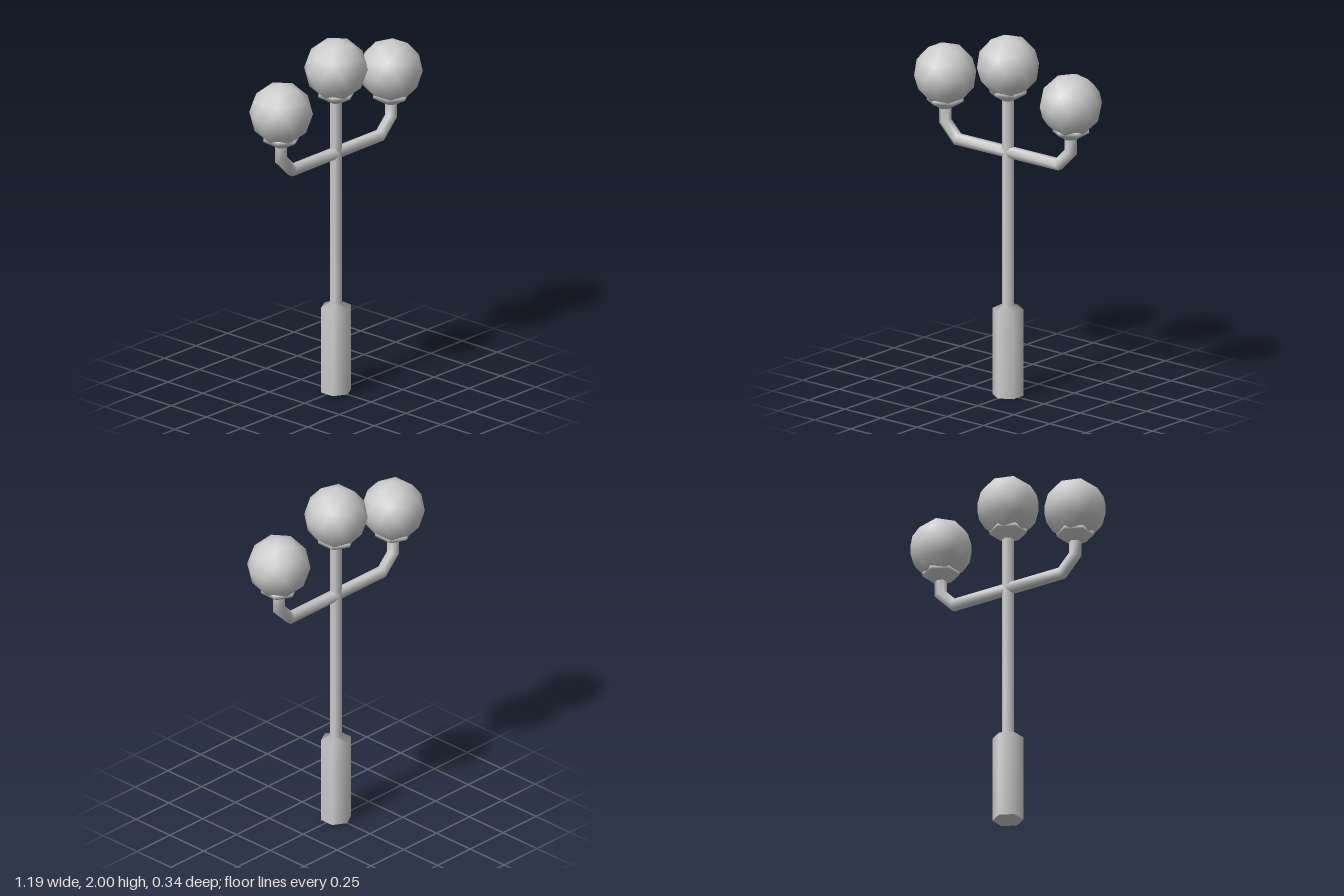
import * as THREE from 'three';

const material = new THREE.MeshStandardMaterial({ color: 0xcccccc });
const SIDES = 6;
const PIPE = 0.033;

function addMesh(parent, name, geometry) {
  const mesh = new THREE.Mesh(geometry, material);
  mesh.name = name;
  parent.add(mesh);
  return mesh;
}

// Six-sided turned part with corners on the z axis
function turned(points) {
  return new THREE.LatheGeometry(points.map(([r, y]) => new THREE.Vector2(r, y)), SIDES);
}

// Hexagonal pipe along a path in the xy plane, with mitred bends
function mitredPipe(path, radius) {
  const pts = path.map(([x, y]) => new THREE.Vector2(x, y));
  const positions = [];
  const index = [];
  pts.forEach((p, i) => {
    const before = (i > 0 ? p.clone().sub(pts[i - 1]) : pts[1].clone().sub(p)).normalize();
    const after = (i < pts.length - 1 ? pts[i + 1].clone().sub(p) : before.clone()).normalize();
    const along = before.clone().add(after).normalize();
    const stretch = 1 / along.dot(before);
    for (let k = 0; k < SIDES; k++) {
      const a = (k / SIDES) * Math.PI * 2;
      const side = Math.sin(a) * radius * stretch;
      positions.push(p.x - along.y * side, p.y + along.x * side, Math.cos(a) * radius);
      if (i === 0) continue;
      const next = (k + 1) % SIDES;
      const a0 = (i - 1) * SIDES + k, a1 = (i - 1) * SIDES + next;
      const b0 = i * SIDES + k, b1 = i * SIDES + next;
      index.push(a0, b0, a1, a1, b0, b1);
    }
  });
  const geometry = new THREE.BufferGeometry();
  geometry.setAttribute('position', new THREE.Float32BufferAttribute(positions, 3));
  geometry.setIndex(index);
  geometry.computeVertexNormals();
  return geometry;
}

// Faceted globe in a flared cup; tilt stands the globe on one of its corners
function createLamp(name, x, y, tilt) {
  const lamp = new THREE.Group();
  lamp.name = name;
  lamp.position.set(x, y, 0);
  const globe = addMesh(lamp, 'globe', new THREE.IcosahedronGeometry(0.17, 1));
  globe.rotation.z = tilt;
  addMesh(lamp, 'cup', turned([[PIPE, -0.19], [0.1, -0.152], [0.098, -0.13], [0.06, -0.125]]));
  return lamp;
}

export function createModel() {
  const model = new THREE.Group();
  model.name = 'streetLamp';
  const tilt = Math.atan(2 / (1 + Math.sqrt(5)));

  // Post: wide base, short shoulder and slim pole
  addMesh(model, 'post', turned([[0.083, 0], [0.083, 0.48], [PIPE, 0.505], [PIPE, 1.66]]));
  const foot = addMesh(model, 'baseUnderside', new THREE.CircleGeometry(0.083, SIDES));
  foot.rotation.set(Math.PI / 2, 0, Math.PI / 2);

  // Centre lamp on top of the pole
  model.add(createLamp('centreLamp', 0, 1.83, -tilt));

  // Two side arms, each ending in a lamp
  for (const [name, turn] of [['left', 0], ['right', Math.PI]]) {
    const side = new THREE.Group();
    side.name = name + 'Side';
    side.rotation.y = turn;
    addMesh(side, name + 'Arm',
      mitredPipe([[0, 1.352], [0.35, 1.352], [0.435, 1.437], [0.435, 1.53]], PIPE));
    side.add(createLamp(name + 'Lamp', 0.435, 1.7, tilt));
    model.add(side);
  }
  return model;
}
